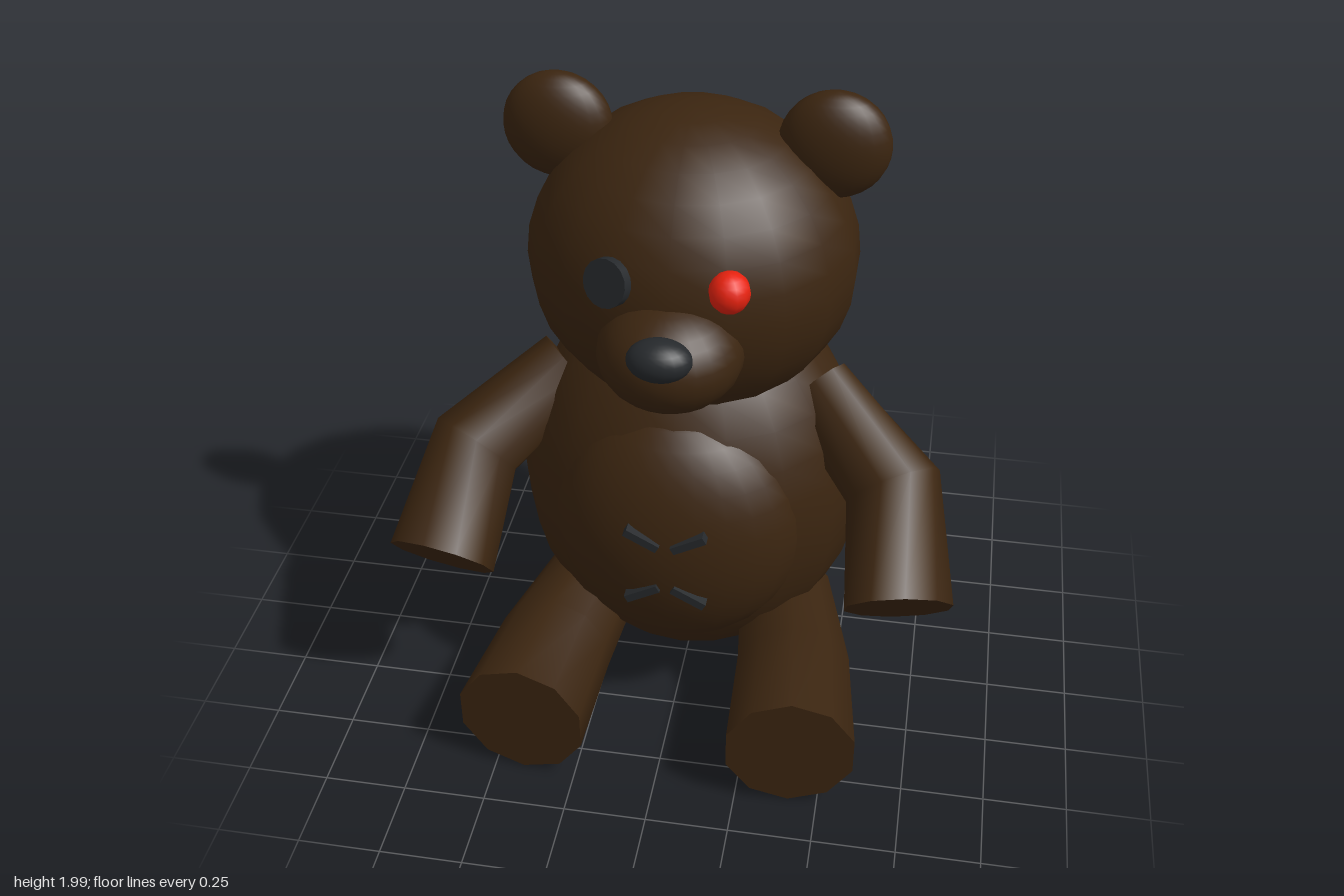
import * as THREE from 'three';

const material = (name, color) => {
  const m = new THREE.MeshStandardMaterial({ color });
  m.name = name;
  return m;
};

// Tapered limb: rings of given radius around path points, closed by flat ends.
function limbGeometry(points, radii, sides) {
  const pos = [], index = [], up = new THREE.Vector3(0, 1, 0);
  const last = points.length - 1;
  const ring = (i) => {
    const d = points[Math.min(i + 1, last)].clone().sub(points[i]).normalize();
    if (i > 0) d.add(points[i].clone().sub(points[i - 1]).normalize());
    if (i === last) d.copy(points[i]).sub(points[i - 1]);
    d.normalize();
    const u = new THREE.Vector3().crossVectors(up, d).normalize();
    const v = new THREE.Vector3().crossVectors(d, u);
    const start = pos.length / 3;
    for (let k = 0; k < sides; k++) {
      const a = (k / sides) * Math.PI * 2 - Math.PI / 2;
      const p = points[i].clone()
        .addScaledVector(u, Math.cos(a) * radii[i])
        .addScaledVector(v, Math.sin(a) * radii[i]);
      pos.push(p.x, p.y, p.z);
    }
    return start;
  };
  const starts = points.map((_, i) => ring(i));
  for (let i = 0; i < last; i++) {
    for (let k = 0; k < sides; k++) {
      const n = (k + 1) % sides;
      const a = starts[i] + k, b = starts[i] + n;
      const c = starts[i + 1] + n, d = starts[i + 1] + k;
      index.push(a, b, c, a, c, d);
    }
  }
  // End faces have their own corners so that the rims stay sharp
  const back = ring(0), front = ring(last);
  for (let k = 1; k < sides - 1; k++) {
    index.push(back, back + k + 1, back + k);
    index.push(front, front + k, front + k + 1);
  }
  const g = new THREE.BufferGeometry();
  g.setAttribute('position', new THREE.Float32BufferAttribute(pos, 3));
  g.setIndex(index);
  g.computeVertexNormals();
  return g;
}

export function createModel() {
  const bear = new THREE.Group();
  bear.name = 'teddyBear';
  const fur = material('brown fur', 0x3b2510);
  const black = material('black plastic', 0x26292c);
  const red = material('red glow', 0xe8220f);

  const add = (name, geometry, mat, x = 0, y = 0, z = 0) => {
    const mesh = new THREE.Mesh(geometry, mat);
    mesh.name = name;
    mesh.position.set(x, y, z);
    bear.add(mesh);
    return mesh;
  };
  const ellipsoid = (name, mat, center, radii, w = 18, h = 16) => {
    const g = new THREE.SphereGeometry(1, w, h);
    g.rotateY(Math.PI / 2);
    g.scale(...radii);
    return add(name, g, mat, ...center);
  };

  // Trunk and head
  ellipsoid('body', fur, [0, 0.69, -0.15], [0.54, 0.65, 0.475]);
  ellipsoid('belly', fur, [0, 0.685, 0.14], [0.38, 0.42, 0.25], 24, 16);
  ellipsoid('head', fur, [0, 1.47, -0.13], [0.488, 0.46, 0.455]);
  ellipsoid('muzzle', fur, [0, 1.38, 0.27], [0.207, 0.162, 0.2], 24, 16);
  ellipsoid('nose', black, [0, 1.46, 0.44], [0.091, 0.06, 0.067], 20, 14);

  // Eyes: a button on the right, a glowing ball on the left
  ellipsoid('leftEye', red, [0.165, 1.595, 0.285], [0.058, 0.06, 0.06], 12, 10);
  const button = new THREE.CylinderGeometry(0.07, 0.07, 0.03, 16);
  const buttonEye = add('rightEye', button, black, -0.17, 1.593, 0.287);
  buttonEye.quaternion.setFromUnitVectors(
    new THREE.Vector3(0, 1, 0), new THREE.Vector3(-0.4, 0.25, 0.88).normalize());

  for (const s of [1, -1]) {
    const side = s > 0 ? 'left' : 'right';
    const path = (list) => list.map(([x, y, z]) => new THREE.Vector3(s * x, y, z));

    ellipsoid(side + 'Ear', fur, [s * 0.395, 1.84, -0.147], [0.16, 0.16, 0.088], 24, 16);
    add(side + 'Arm', limbGeometry(
      path([[0.38, 1.05, -0.1], [0.64, 0.85, 0.09], [0.69, 0.62, 0.37]]),
      [0.115, 0.148, 0.162], 10), fur);
    add(side + 'Leg', limbGeometry(
      path([[0.31, 0.24, -0.1], [0.38, 0.21, 0.25], [0.412, 0.205, 0.6]]),
      [0.15, 0.182, 0.2], 10), fur);

    // Crossed belly stitches with a gap in the middle
    for (const [y, tilt] of [[0.787, 0.5], [0.583, -0.5]]) {
      const stitch = add(side + 'Stitch', new THREE.BoxGeometry(0.11, 0.025, 0.05),
        black, s * 0.07, y, 0.37);
      stitch.rotation.z = s * tilt;
    }
  }
  return bear;
}
